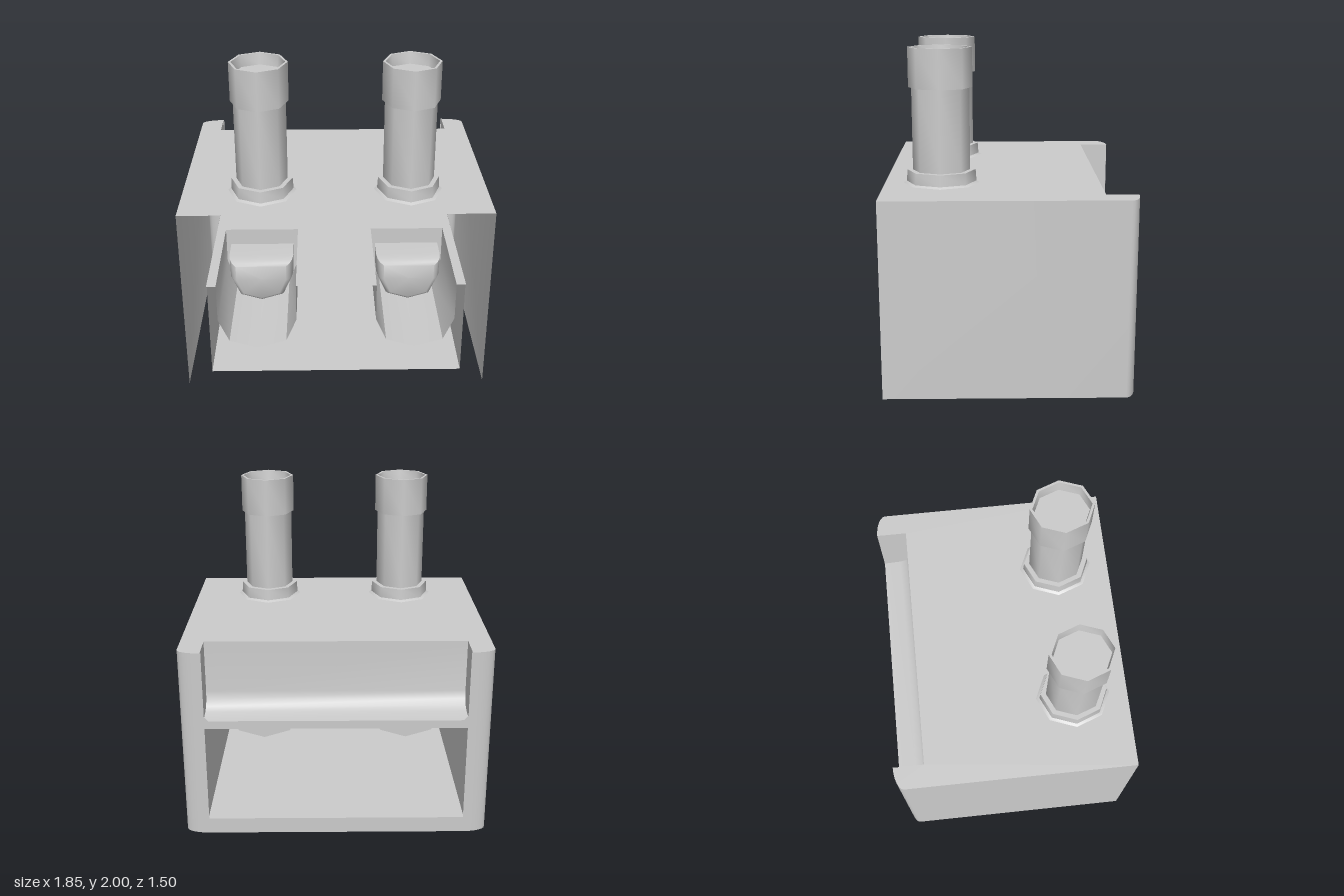
import * as THREE from 'three';
import { toCreasedNormals } from 'three/addons/utils/BufferGeometryUtils.js';

const grey = new THREE.MeshStandardMaterial({ color: 0xcccccc, side: THREE.DoubleSide });

function part(parent, name, geometry) {
  const mesh = new THREE.Mesh(geometry, grey);
  mesh.name = name;
  parent.add(mesh);
  return mesh;
}

// Joins successive cross-sections (arrays of [x, y, z]) into a skin
function loft(sections, closed = false, crease = 0.7) {
  const n = sections[0].length;
  const index = [];
  for (let s = 0; s < sections.length - 1; s++) {
    for (let i = 0; i < (closed ? n : n - 1); i++) {
      const a = s * n + i, b = s * n + (i + 1) % n;
      index.push(a, b, b + n, a, b + n, a + n);
    }
  }
  const g = new THREE.BufferGeometry();
  g.setAttribute('position', new THREE.Float32BufferAttribute(sections.flat(2), 3));
  g.setIndex(index);
  return toCreasedNormals(g, crease);
}

const shapeOf = (pts) => new THREE.Shape(pts.map(([x, y]) => new THREE.Vector2(x, y)));
const plan = (pts, y) => new THREE.ShapeGeometry(shapeOf(pts)).rotateX(Math.PI / 2).translate(0, y, 0);

const W = 0.925, IN = 0.785, BACK = -0.75, FRONT = 0.735, TOP = 1.19;
const TROUGH_X = 0.483, TROUGH_END = 0.02;

// Rounded back corner in plan, from the side wall round to the back face
const corner = [];
for (let i = 0; i <= 6; i++) {
  const a = (i / 6) * Math.PI / 2;
  corner.push([IN + 0.14 * Math.cos(a), -0.69 - 0.06 * Math.sin(a)]);
}

function addHousing(group) {
  // Side walls with the rounded rear corners
  for (const s of [-1, 1]) {
    const path = [[W, FRONT], ...corner];
    part(group, s > 0 ? 'leftWall' : 'rightWall',
      loft([0, TOP].map((y) => path.map(([x, z]) => [s * x, y, z]))));
  }
  // Top plate, cut back for the rear recess
  const half = [[W, FRONT], ...corner, [IN, -0.56]];
  part(group, 'topPlate', plan([...half, ...half.slice().reverse().map(([x, z]) => [-x, z])], TOP));

  // Rear frame with window
  const frame = shapeOf([[-IN, 0], [IN, 0], [IN, TOP], [IN - 0.005, TOP], [IN - 0.005, 0.79], [IN - 0.03, 0.76],
    [-IN + 0.03, 0.76], [-IN + 0.005, 0.79], [-IN + 0.005, TOP], [-IN, TOP]]);
  frame.holes.push(new THREE.Path([[-0.78, 0.1], [-0.78, 0.71], [0.78, 0.71], [0.78, 0.1]]
    .map(([x, y]) => new THREE.Vector2(x, y))));
  part(group, 'rearFrame', new THREE.ShapeGeometry(frame).translate(0, 0, BACK));

  // Recess above the window, with a filleted floor
  const recess = [[TOP, -0.56], [0.87, -0.56], [0.82, -0.568], [0.785, -0.595], [0.768, -0.64], [0.76, BACK]];
  part(group, 'rearRecess', loft([-IN, IN].map((x) => recess.map(([y, z]) => [x, y, z]))));
  for (const s of [-1, 1]) {
    const cheek = shapeOf([...recess.map(([y, z]) => [z, y]), [BACK, TOP]]);
    part(group, 'recessCheek', new THREE.ShapeGeometry(cheek).rotateY(-Math.PI / 2).translate(s * IN, 0, 0));
  }
}

function addTunnel(group) {
  // Floor and sides of the through passage, narrowing slightly to the front
  const section = (x, z, lean) => [[-x, 0.71, z - lean], [-x, 0.1, z], [x, 0.1, z], [x, 0.71, z - lean]];
  part(group, 'passage', loft([section(0.785, BACK, 0), section(0.775, 0.748, 0.012)]));

  // Shelf with two slots open to the front
  const a = TROUGH_X - 0.24, b = TROUGH_X + 0.24;
  const half = [[a, FRONT], [a, TROUGH_END], [b, TROUGH_END], [b, FRONT], [0.78, FRONT], [0.78, BACK]];
  part(group, 'shelf', plan([...half, ...half.slice().reverse().map(([x, z]) => [-x, z])], 0.71));
}

// Trough hanging in each slot, with a rounded block on its end wall
function makeTrough() {
  const g = new THREE.Group();
  const u = [[-0.24, 0.71], [-0.24, 0.47], [-0.175, 0.32], [0, 0.268], [0.175, 0.32], [0.24, 0.47], [0.24, 0.71]];
  part(g, 'troughSkin', loft([TROUGH_END, FRONT].map((z) => u.map(([x, y]) => [x, y, z]))));
  part(g, 'troughEnd', new THREE.ShapeGeometry(shapeOf(u)).translate(0, 0, TROUGH_END));

  const block = [[-0.21, 0.6], [-0.207, 0.47], [-0.15, 0.34], [0, 0.295], [0.15, 0.34], [0.207, 0.47], [0.21, 0.6]];
  const rings = [[0.02, 1], [0.17, 1], [0.22, 0.97], [0.255, 0.9], [0.275, 0.78], [0.28, 0.01]];
  part(g, 'block', loft(rings.map(([z, k]) =>
    block.map(([x, y]) => [x * k, 0.48 + (y - 0.48) * k, z])), true, 0.95));
  return g;
}

// Octagonal upright: flange, stem and hollow cap
function makePost() {
  const profile = [[0.23, 1.19], [0.21, 1.2], [0.205, 1.27], [0.172, 1.27], [0.172, 1.765], [0.19, 1.765],
    [0.19, 2], [0.174, 2], [0.165, 1.93], [0, 1.93]].map(([r, y]) => new THREE.Vector2(r, y));
  const g = new THREE.Group();
  part(g, 'postBody', toCreasedNormals(new THREE.LatheGeometry(profile, 8), 0.9)).scale.x = 0.9;
  return g;
}

export function createModel() {
  const group = new THREE.Group();
  group.name = 'housing';
  addHousing(group);
  addTunnel(group);
  for (const s of [-1, 1]) {
    const side = s > 0 ? 'left' : 'right';
    const trough = makeTrough();
    trough.name = side + 'Trough';
    trough.position.x = s * TROUGH_X;
    const post = makePost();
    post.name = side + 'Post';
    post.position.set(s * 0.443, 0, 0.395);
    group.add(trough, post);
  }
  return group;
}
